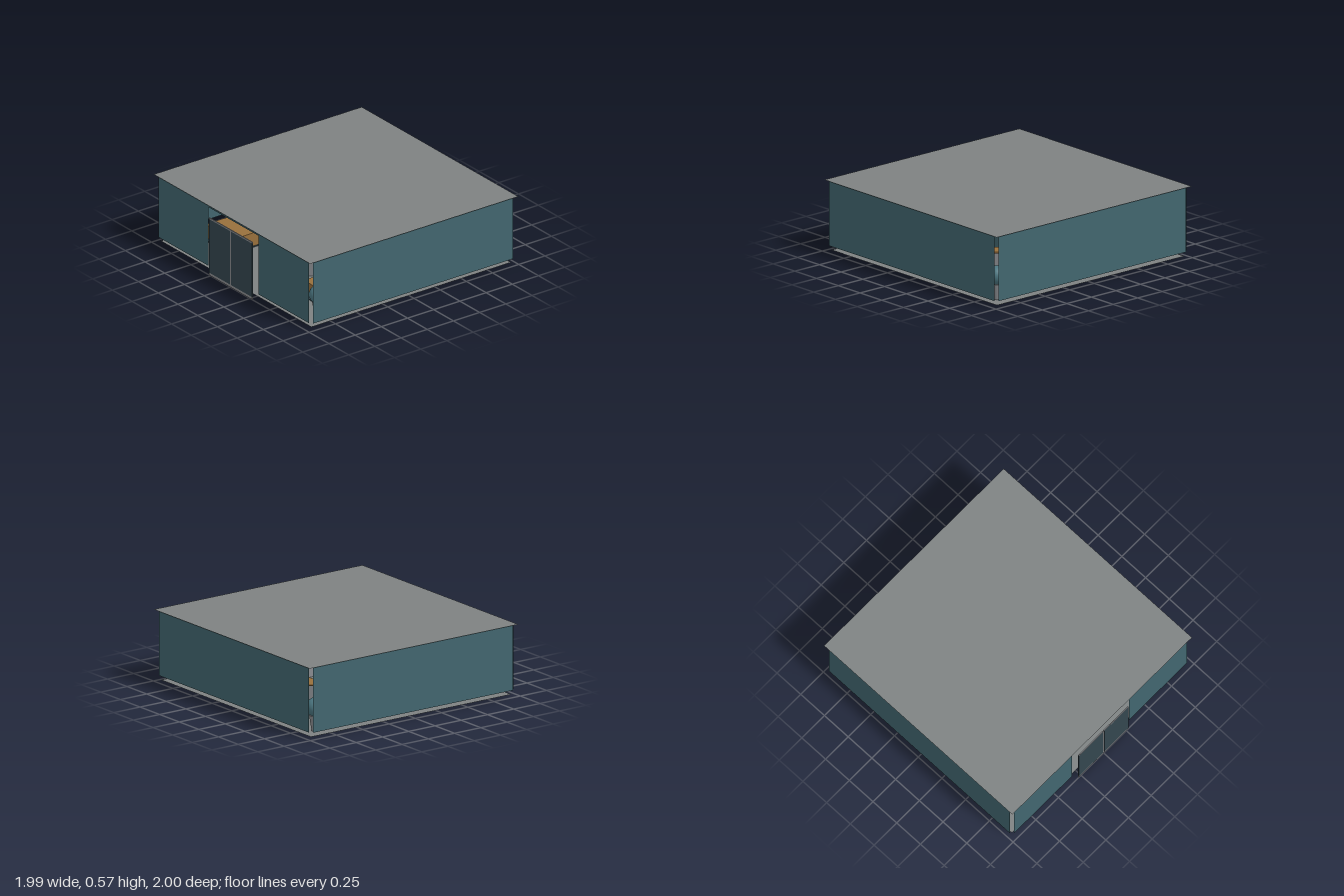
import * as THREE from 'three';

const mat = (name, color, side = THREE.FrontSide) => {
  const m = new THREE.MeshStandardMaterial({ color, side });
  m.name = name;
  return m;
};

export function createModel() {
  const root = new THREE.Group();
  root.name = 'lobbyRoom';
  const wallMat = mat('tealWall', 0x42666f, THREE.DoubleSide);
  const slabMat = mat('greySlab', 0x7e8282, THREE.DoubleSide);
  const dark = mat('darkSlate', 0x34464f);
  const grey = mat('lightGrey', 0x8a8c90);
  const wood = mat('wood', 0x99703c);
  const leaf = mat('tealFoliage', 0x4d7883);

  const add = (name, geo, m, x = 0, y = 0, z = 0) => {
    const mesh = new THREE.Mesh(geo, m);
    mesh.name = name;
    mesh.position.set(x, y, z);
    root.add(mesh);
    return mesh;
  };
  const box = (name, m, w, h, d, x, y, z) => add(name, new THREE.BoxGeometry(w, h, d), m, x, y, z);
  const drum = (name, m, rTop, rBottom, h, x, y, z, sides = 24) =>
    add(name, new THREE.CylinderGeometry(rTop, rBottom, h, sides), m, x, y, z);

  // Floor and overhanging ceiling are bare sheets
  add('floor', new THREE.PlaneGeometry(1.91, 1.905), slabMat, 0, 0.012, -0.007).rotation.x = -Math.PI / 2;
  add('ceiling', new THREE.PlaneGeometry(1.985, 1.985), slabMat, 0, 0.571, -0.008).rotation.x = -Math.PI / 2;

  // Walls hang just above the floor and leave slits at the corners
  const front = new THREE.Shape([
    [-0.955, 0.05], [-0.318, 0.05], [-0.318, 0.545], [0.315, 0.545],
    [0.315, 0.05], [0.955, 0.05], [0.955, 0.57], [-0.955, 0.57],
  ].map(([x, y]) => new THREE.Vector2(x, y)));
  add('frontWall', new THREE.ShapeGeometry(front), wallMat, 0, 0, 0.968);
  add('backWall', new THREE.PlaneGeometry(1.91, 0.52), wallMat, 0, 0.31, -0.98).rotation.y = Math.PI;
  for (const s of [-1, 1]) {
    add('sideWall', new THREE.PlaneGeometry(1.905, 0.52), wallMat, s * 0.978, 0.31, -0.007).rotation.y = s * Math.PI / 2;
  }

  // Double door standing in front of the opening
  for (const s of [-1, 1]) {
    box('doorPanel', dark, 0.266, 0.452, 0.008, s * 0.14, 0.247, 0.996);
    box('doorTopRail', grey, 0.27, 0.012, 0.008, s * 0.139, 0.479, 0.996);
    box('doorBottomRail', grey, 0.27, 0.021, 0.008, s * 0.139, 0.0105, 0.996);
  }
  box('doorCentreStrip', grey, 0.012, 0.485, 0.006, 0, 0.2425, 0.996);

  // Eight-sided ring counter around the central column
  const ring = (outer, inner, depth) => {
    const polygon = (r) => Array.from({ length: 8 }, (_, i) => {
      const a = (i + 0.5) * Math.PI / 4;
      return new THREE.Vector2(Math.cos(a) * r, Math.sin(a) * r);
    });
    const shape = new THREE.Shape(polygon(outer));
    shape.holes.push(new THREE.Path(polygon(inner)));
    const geo = new THREE.ExtrudeGeometry(shape, { depth, bevelEnabled: false });
    return geo.rotateX(-Math.PI / 2);
  };
  add('counterBody', ring(0.47, 0.36, 0.13), grey, 0, 0.012, 0.02);
  add('counterTop', ring(0.49, 0.34, 0.01), wood, 0, 0.142, 0.02);
  drum('column', wallMat, 0.14, 0.14, 0.555, 0, 0.29, 0, 32);
  for (let i = 0; i < 8; i++) {
    const a = i * Math.PI / 4;
    box('columnScreen', dark, 0.075, 0.1, 0.015, Math.sin(a) * 0.143, 0.49, Math.cos(a) * 0.143).rotation.y = a;
  }

  for (const s of [-1, 1]) {
    // Front lounge benches
    box('benchBase', dark, 0.36, 0.012, 0.42, s * 0.62, 0.012, 0.46);
    box('benchBody', wood, 0.34, 0.11, 0.36, s * 0.62, 0.073, 0.46);

    // Round tables at the back
    drum('tableFoot', dark, 0.07, 0.075, 0.012, s * 0.7, 0.012, -0.64);
    drum('tableStem', dark, 0.05, 0.05, 0.12, s * 0.7, 0.075, -0.64);
    drum('tableTop', wood, 0.1, 0.1, 0.012, s * 0.7, 0.14, -0.64);

    // Low side cabinets
    box('cabinet', grey, 0.12, 0.12, 0.27, s * 0.72, 0.075, -0.29);
    box('cabinetBase', dark, 0.14, 0.01, 0.28, s * 0.72, 0.011, -0.29);

    // Potted plants in the corners
    for (const z of [0.79, -0.83]) {
      drum('plantPot', grey, 0.05, 0.03, 0.13, s * 0.84, 0.072, z);
      add('plantBush', new THREE.SphereGeometry(0.075, 20, 14), leaf, s * 0.84, 0.2, z);
    }
  }
  return root;
}
